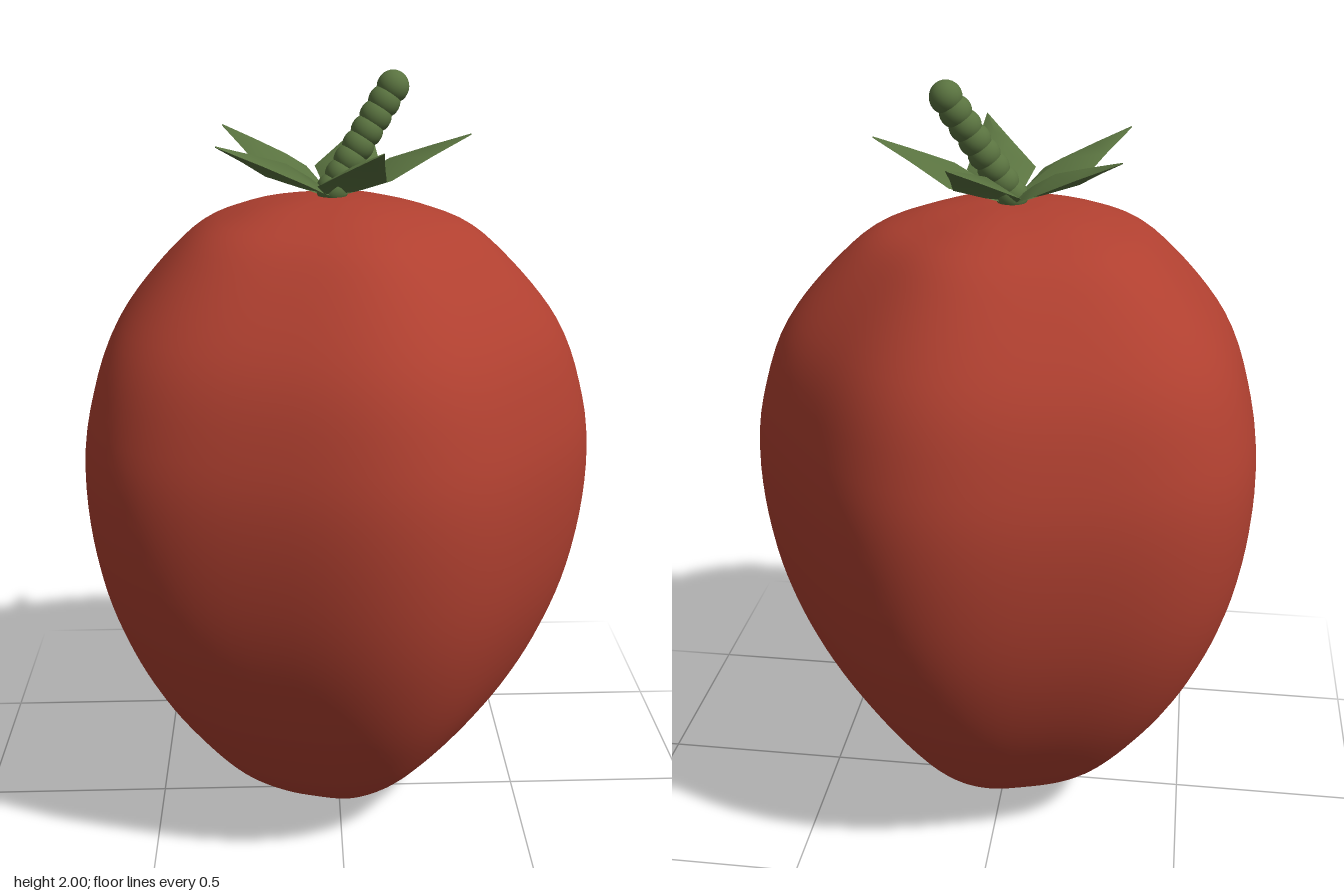
import * as THREE from 'three';

const AXIS_X = -0.015; // the fruit's axis sits slightly off centre

// Grid of points (rows x columns) turned into a smooth surface
function gridGeometry(rows, cols, point) {
  const pos = [], index = [];
  for (let i = 0; i <= rows; i++)
    for (let j = 0; j <= cols; j++) pos.push(...point(i, j));
  const w = cols + 1;
  for (let i = 0; i < rows; i++)
    for (let j = 0; j < cols; j++) {
      const a = i * w + j;
      index.push(a, a + w, a + 1, a + 1, a + w, a + w + 1);
    }
  const g = new THREE.BufferGeometry();
  g.setAttribute('position', new THREE.Float32BufferAttribute(pos, 3));
  g.setIndex(index);
  g.computeVertexNormals();
  return g;
}

// Softly five-lobed outline of the fruit
const outline = a =>
  0.636 - 0.006 * Math.cos(a) + 0.014 * Math.cos(2 * a) + 0.022 * Math.cos(5 * a);

function fruitGeometry() {
  const profile = new THREE.SplineCurve([
    [0, 0.01], [0.08, 0.015], [0.21, 0.05], [0.34, 0.1], [0.51, 0.2], [0.73, 0.4],
    [0.88, 0.6], [0.968, 0.8], [1, 1.02], [0.967, 1.2], [0.85, 1.4], [0.58, 1.6],
    [0.37, 1.67], [0.16, 1.7], [0, 1.705],
  ].map(p => new THREE.Vector2(...p)));
  const rows = 64, cols = 96;
  const pts = profile.getSpacedPoints(rows);
  const g = gridGeometry(rows, cols, (i, j) => {
    const a = (j % cols) / cols * Math.PI * 2;
    const r = Math.max(0, pts[i].x) * outline(a);
    return [r * Math.cos(a), pts[i].y, -r * Math.sin(a)];
  });
  // Match the normals along the seam
  const n = g.attributes.normal, v = new THREE.Vector3(), u = new THREE.Vector3();
  for (let i = 0; i <= rows; i++) {
    const a = i * (cols + 1), b = a + cols;
    v.fromBufferAttribute(n, a).add(u.fromBufferAttribute(n, b)).normalize();
    n.setXYZ(a, v.x, v.y, v.z);
    n.setXYZ(b, v.x, v.y, v.z);
  }
  // Turn faces outward
  g.index.array.reverse();
  g.computeBoundingSphere();
  n.array.forEach((c, i) => { n.array[i] = c; });
  const p = g.attributes.position, mid = 32 * (cols + 1);
  const [i0, i1, i2] = [mid, mid + 1, mid + cols + 1];
  const A = v.fromBufferAttribute(p, i0).clone();
  const out = u.fromBufferAttribute(p, i1).sub(A).clone()
    .cross(v.fromBufferAttribute(p, i2).sub(A)).dot(A.clone().setY(0)) > 0;
  // out: winding (a, a+1, a+row) faces outward, which is the reversed order
  if (!out) g.index.array.reverse();
  const flip = n.getX(mid) * p.getX(mid) + n.getZ(mid) * p.getZ(mid) < 0;
  if (flip) for (let i = 0; i < n.array.length; i++) n.array[i] *= -1;
  return g;
}

// Ridged, kite-shaped leaf along +x: [distance, ridge height, edge height, half width]
function leafGeometry() {
  const ribs = [
    [0.0, 1.705, 1.7, 0.012],
    [0.07, 1.755, 1.725, 0.048],
    [0.14, 1.795, 1.753, 0.088],
    [0.24, 1.825, 1.803, 0.043],
    [0.34, 1.853, 1.85, 0.002],
  ];
  return gridGeometry(ribs.length - 1, 2, (i, j) => {
    const [d, ridge, edge, w] = ribs[i];
    return [d, j === 1 ? ridge : edge, (j - 1) * -w];
  });
}

export function createModel() {
  const red = new THREE.MeshStandardMaterial({ color: 0xb04030 });
  red.name = 'fruitRed';
  const green = new THREE.MeshStandardMaterial({ color: 0x5a7340, side: THREE.DoubleSide });
  green.name = 'leafGreen';

  const model = new THREE.Group();
  model.name = 'fruitModel';
  const add = (name, geometry, material, parent = model) => {
    const mesh = new THREE.Mesh(geometry, material);
    mesh.name = name;
    parent.add(mesh);
    return mesh;
  };

  // Fruit body and the small blossom scar under it
  add('fruitBody', fruitGeometry(), red).position.x = AXIS_X;
  const scar = add('blossomScar', new THREE.SphereGeometry(0.05, 24, 12), red);
  scar.scale.y = 0.25;
  scar.position.set(AXIS_X, 0.0125, 0);

  // Five leaves around the stem
  const leaves = new THREE.Group();
  leaves.name = 'leafCrown';
  leaves.position.x = AXIS_X;
  const leaf = leafGeometry();
  for (let i = 0; i < 5; i++)
    add('leaf', leaf, green, leaves).rotation.y = i * Math.PI * 2 / 5;
  model.add(leaves);

  // Leaning stem made of overlapping beads
  const stem = new THREE.Group();
  stem.name = 'stem';
  const path = new THREE.LineCurve3(
    new THREE.Vector3(AXIS_X, 1.72, 0), new THREE.Vector3(0.135, 1.96, -0.05));
  const bead = new THREE.SphereGeometry(0.04, 20, 14);
  for (let i = 0; i < 8; i++)
    add('stemBead', bead, green, stem).position.copy(path.getPoint(i / 7));
  model.add(stem);

  return model;
}
